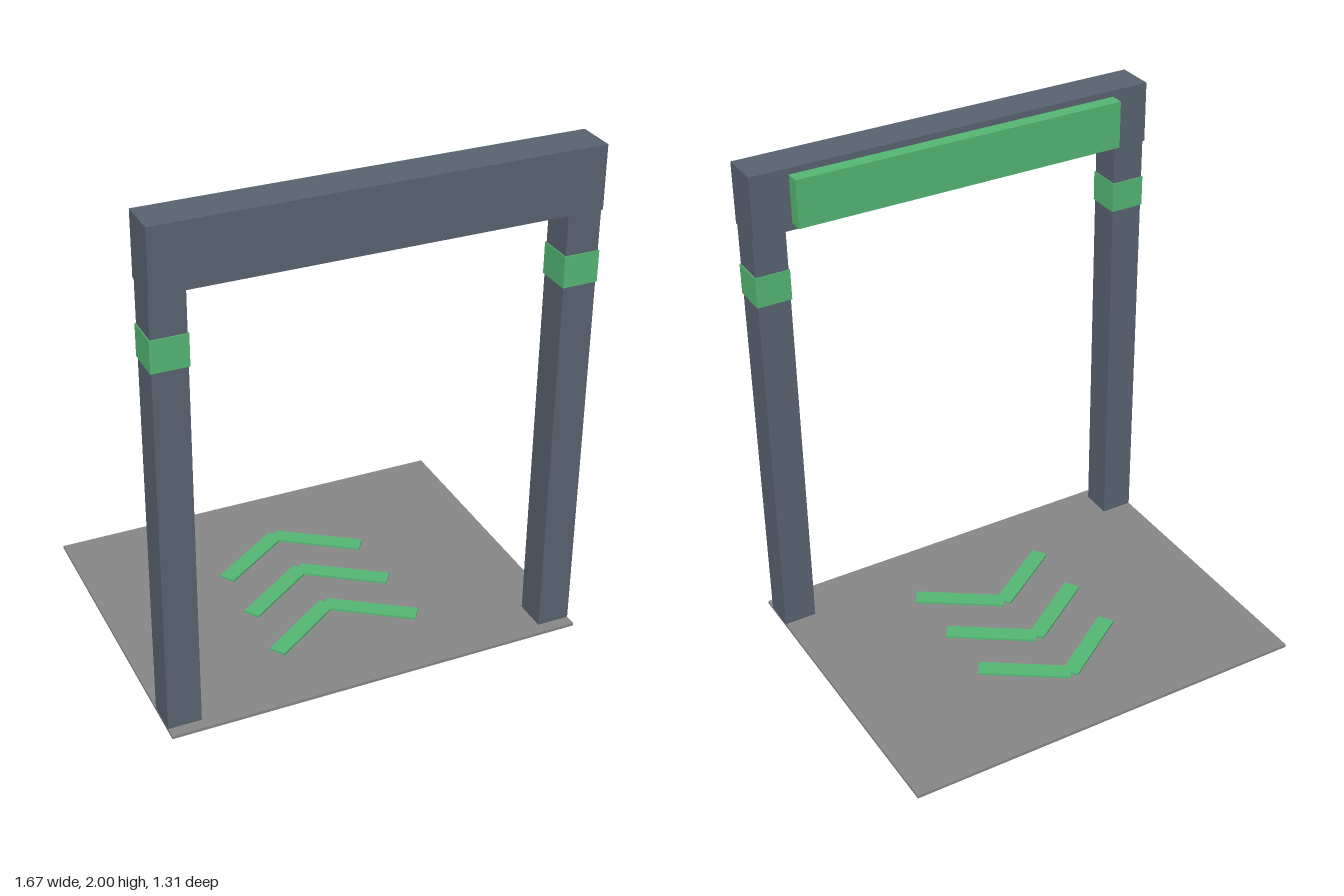
import * as THREE from 'three';

export function createModel() {
  const model = new THREE.Group();
  model.name = 'checkpointGate';

  const steel = new THREE.MeshStandardMaterial({ color: 0x5a6472 });
  const green = new THREE.MeshStandardMaterial({ color: 0x55b874 });
  const floorGrey = new THREE.MeshStandardMaterial({ color: 0x888888 });

  function box(name, size, position, material, parent = model) {
    const mesh = new THREE.Mesh(new THREE.BoxGeometry(...size), material);
    mesh.name = name;
    mesh.position.set(...position);
    parent.add(mesh);
    return mesh;
  }

  // Thin floor plate
  box('floorPlate', [1.66, 0.012, 1.31], [0, 0.006, 0], floorGrey);

  // Posts with a green band wrapped round each
  for (const [side, s] of [['left', 1], ['right', -1]]) {
    box(side + 'Post', [0.13, 1.76, 0.13], [s * 0.765, 0.88, 0.545], steel);
    box(side + 'Band', [0.138, 0.122, 0.138], [s * 0.765, 1.538, 0.545], green);
  }

  // Cross beam with the sign panel on its back
  box('crossBeam', [1.66, 0.242, 0.154], [0, 1.879, 0.544], steel);
  box('signPanel', [1.355, 0.19, 0.055], [0, 1.88, 0.44], green);

  // Three chevrons on the floor, pointing away from the gate
  [-0.262, -0.002, 0.258].forEach((z, i) => {
    const chevron = new THREE.Group();
    chevron.name = 'chevron' + (i + 1);
    chevron.position.z = z;
    for (const [side, s] of [['left', 1], ['right', -1]]) {
      const arm = box(side + 'Arm', [0.363, 0.009, 0.066], [s * 0.147, 0.0165, 0], green, chevron);
      arm.rotation.y = -s * 0.6;
    }
    model.add(chevron);
  });

  return model;
}
